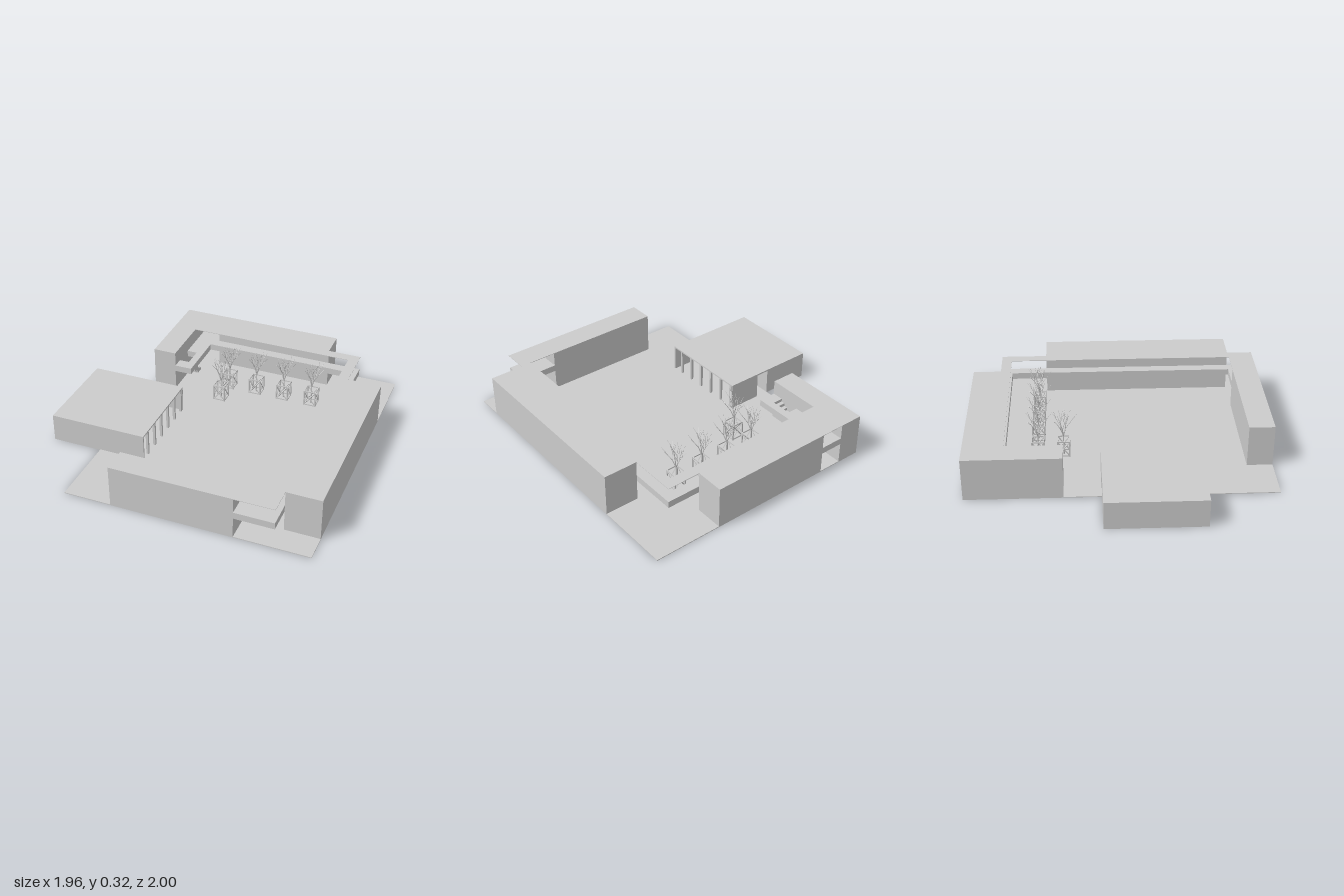
import * as THREE from 'three';

const grey = new THREE.MeshStandardMaterial({ color: 0xcccccc, flatShading: true });
const UP = new THREE.Vector3(0, 1, 0);

// Box given by its limits on each axis
function block(parent, name, x0, x1, y0, y1, z0, z1) {
  const mesh = new THREE.Mesh(new THREE.BoxGeometry(x1 - x0, y1 - y0, z1 - z0), grey);
  mesh.position.set((x0 + x1) / 2, (y0 + y1) / 2, (z0 + z1) / 2);
  mesh.name = name;
  parent.add(mesh);
  return mesh;
}

// Straight bar between two points
function bar(parent, name, a, b, r0, r1 = r0, sides = 4) {
  const dir = b.clone().sub(a);
  const mesh = new THREE.Mesh(new THREE.CylinderGeometry(r1, r0, dir.length(), sides), grey);
  mesh.position.copy(a).add(b).multiplyScalar(0.5);
  mesh.quaternion.setFromUnitVectors(UP, dir.normalize());
  mesh.name = name;
  parent.add(mesh);
}

function seeded(seed) {
  return () => (seed = (seed * 16807) % 2147483647) / 2147483647;
}

// Open braced planter crate with a bare tree
function plantedTree() {
  const group = new THREE.Group();
  const h = 0.04, low = 0.012, high = 0.118;
  for (let i = 0; i < 4; i++) {
    const side = new THREE.Group();
    side.name = 'planterSide';
    side.rotation.y = i * Math.PI / 2;
    block(side, 'planterPost', -h - 0.004, -h + 0.004, 0.006, 0.122, h - 0.004, h + 0.004);
    for (const y of [low, high]) block(side, 'planterRail', -h, h, y - 0.004, y + 0.004, h - 0.003, h + 0.003);
    for (const s of [-1, 1]) {
      bar(side, 'planterBrace', new THREE.Vector3(-s * h, low, h), new THREE.Vector3(s * h, high, h), 0.004);
    }
    group.add(side);
  }
  const rand = seeded(4711);
  function grow(start, dir, length, radius, level) {
    const end = start.clone().addScaledVector(dir, length);
    bar(group, level ? 'branch' : 'trunk', start, end, radius, radius * 0.65, 5);
    if (level === 3) return;
    const count = level === 0 ? 5 : 2;
    const turn = rand() * 6.28;
    for (let i = 0; i < count; i++) {
      const a = turn + (i + rand() * 0.5) * 2 * Math.PI / count;
      const spread = 0.3 + rand() * 0.25;
      const next = dir.clone().add(new THREE.Vector3(Math.cos(a) * spread, 0.25, Math.sin(a) * spread)).normalize();
      grow(end, next, 0.05 + rand() * 0.018, radius * 0.65, level + 1);
    }
  }
  grow(new THREE.Vector3(0, 0.006, 0), UP.clone(), 0.14, 0.006, 0);
  return group;
}

export function createModel() {
  const model = new THREE.Group();
  model.name = 'courtyardBuilding';
  const G = 0.005, top = 0.29;

  block(model, 'ground', -0.64, 0.98, 0, G, -1, 1);

  // Building wings around the court
  block(model, 'frontWing', -0.32, 0.49, G, top, 0.83, 1);
  block(model, 'leftWing', 0.75, 0.98, G, top, -0.495, 0.825);
  block(model, 'backWing', -0.32, 0.52, G, top, -1, -0.81);
  block(model, 'rightWing', -0.64, -0.48, G, top, -1, -0.37);

  // Upper walkway and thin roof follow the same route between the wings
  const route = [
    [0.49, 0.75, 0.83, 1],
    [0.68, 0.75, -0.74, 0.83],
    [-0.48, 0.75, -0.81, -0.74],
    [-0.48, -0.32, -1, -0.81],
  ];
  for (const [x0, x1, z0, z1] of route) {
    block(model, 'walkway', x0, x1, 0.145, 0.19, z0, z1);
    block(model, 'walkwayRoof', x0, x1, top - 0.003, top, z0, z1);
  }

  // Stair landing with an opening, and the stair below it
  block(model, 'landing', -0.48, -0.36, 0.145, 0.19, -0.74, -0.59);
  block(model, 'landing', -0.41, -0.36, 0.145, 0.19, -0.59, -0.37);
  block(model, 'landing', -0.48, -0.41, 0.145, 0.19, -0.45, -0.37);
  const steps = 9, rise = 0.185 / steps, run = 0.027;
  for (let i = 1; i < steps; i++) {
    const y = 0.19 - i * rise, z = -0.45 - (i - 1) * run;
    block(model, 'stairStep', -0.48, -0.41, Math.max(G, y - 2 * rise), y, z - run, z);
  }

  // Low hall with an open, columned porch facing the court
  const hall = new THREE.Group();
  hall.name = 'entranceHall';
  block(hall, 'hallRoom', -0.98, -0.64, 0, 0.19, -0.13, 0.51);
  block(hall, 'porchRoof', -0.64, -0.32, 0.18, 0.19, -0.13, 0.51);
  block(hall, 'porchFrontWall', -0.64, -0.32, G, 0.18, 0.5, 0.51);
  block(hall, 'porchBackWall', -0.55, -0.32, G, 0.18, -0.13, -0.12);
  for (let i = 0; i < 6; i++) {
    const z = 0.43 - i * 0.107;
    block(hall, 'porchColumn', -0.337, -0.321, G, 0.18, z - 0.008, z + 0.008);
  }
  model.add(hall);

  // Planted trees
  for (const [x, z] of [[-0.13, -0.54], [0.075, -0.54], [0.28, -0.54], [0.485, -0.54], [-0.13, -0.37]]) {
    const tree = plantedTree();
    tree.name = 'plantedTree';
    tree.position.set(x, 0, z);
    model.add(tree);
  }
  return model;
}
